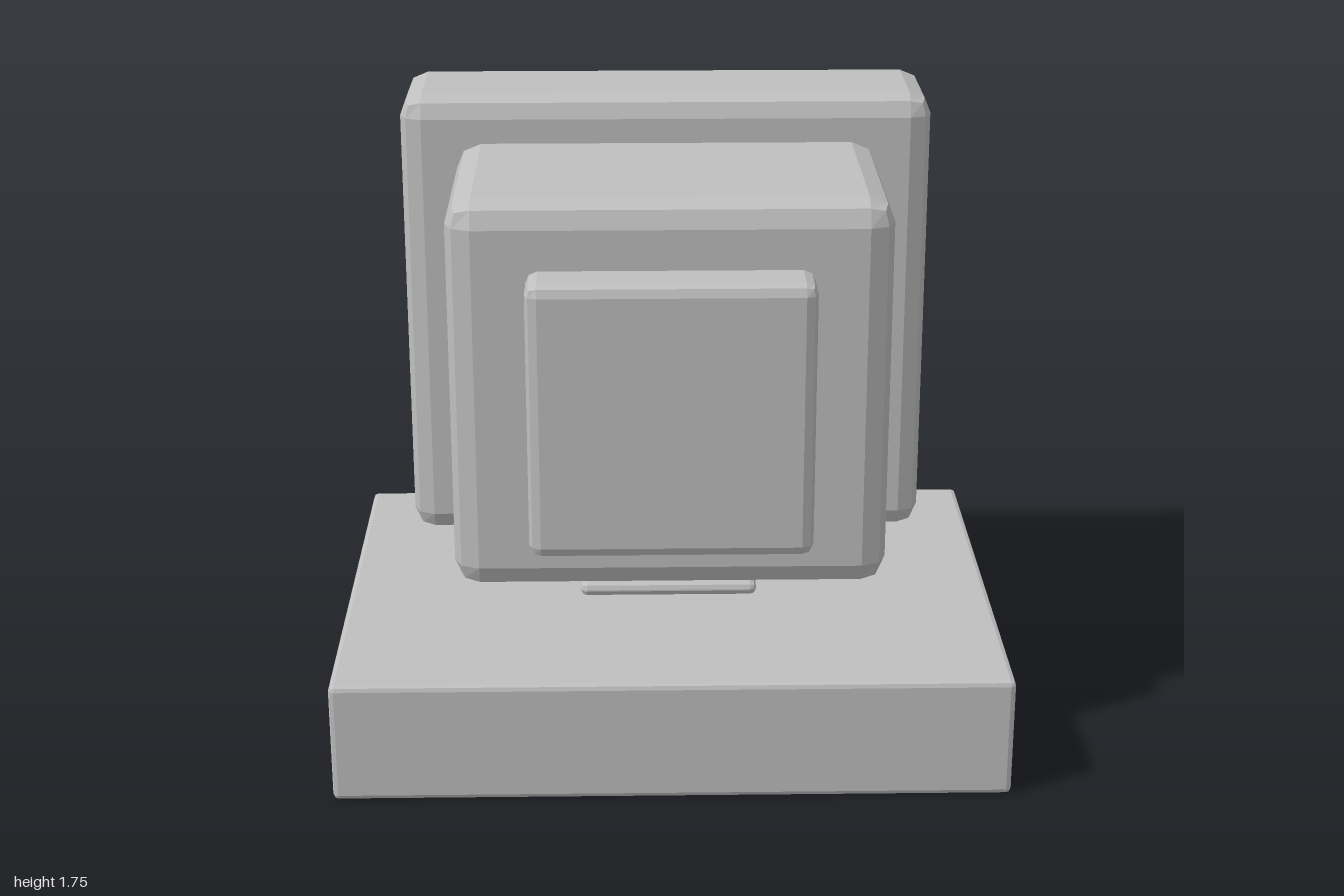
import * as THREE from 'three';
import { RoundedBoxGeometry } from 'three/addons/geometries/RoundedBoxGeometry.js';

const grey = new THREE.MeshStandardMaterial({ color: 0xbfbfbf });
grey.name = 'warm grey plastic';

export function createModel() {
  const model = new THREE.Group();
  model.name = 'desktopComputer';

  const group = (name) => {
    const g = new THREE.Group();
    g.name = name;
    model.add(g);
    return g;
  };
  const add = (parent, name, geometry) => {
    const mesh = new THREE.Mesh(geometry, grey);
    mesh.name = name;
    parent.add(mesh);
    return mesh;
  };
  // Box given by its limits; a radius gives faceted bevelled edges
  const box = (parent, name, [x0, x1], [y0, y1], [z0, z1], radius = 0) => {
    const size = [x1 - x0, y1 - y0, z1 - z0];
    const geometry = radius
      ? new RoundedBoxGeometry(...size, 1, radius)
      : new THREE.BoxGeometry(...size);
    if (radius) geometry.computeVertexNormals();
    const mesh = add(parent, name, geometry);
    mesh.position.set((x0 + x1) / 2, (y0 + y1) / 2, (z0 + z1) / 2);
    return mesh;
  };
  // Cylinder lying along z
  const disc = (parent, name, x, y, [z0, z1], radius, sides = 20) => {
    const geometry = new THREE.CylinderGeometry(radius, radius, z1 - z0, sides);
    geometry.rotateX(Math.PI / 2);
    const mesh = add(parent, name, geometry);
    mesh.position.set(x, y, (z0 + z1) / 2);
    return mesh;
  };

  // Case with its front details
  const unit = group('systemUnit');
  box(unit, 'case', [-0.955, 0.91], [0.005, 0.35], [-0.36, 0.995], 0.015);
  disc(unit, 'powerKnob', 0.7, 0.18, [-0.402, -0.355], 0.058);
  box(unit, 'powerLight', [0.67, 0.73], [0.275, 0.295], [-0.372, -0.355]);
  for (let i = 0; i < 6; i++) {
    const y = 0.1 + i * 0.036;
    box(unit, 'vent', [0.105, 0.485], [y, y + 0.016], [-0.375, -0.355]);
  }
  for (const y of [0.075, 0.195]) {
    box(unit, 'driveBay', [-0.83, -0.115], [y, y + 0.1], [-0.375, -0.355]);
    box(unit, 'driveSlot', [-0.78, -0.225], [y + 0.035, y + 0.065], [-0.385, -0.37]);
    box(unit, 'driveButton', [-0.2, -0.14], [y + 0.03, y + 0.07], [-0.385, -0.37]);
  }

  // Monitor: stand, front shell, tube housing and back cap
  const monitor = group('monitor');
  box(monitor, 'stand', [-0.28, 0.23], [0.355, 0.395], [-0.145, 0.45], 0.018);
  box(monitor, 'frontShell', [-0.79, 0.74], [0.4, 1.75], [-0.315, 0.082], 0.063);
  box(monitor, 'tubeHousing', [-0.62, 0.57], [0.535, 1.64], [0.1, 0.788], 0.07);
  box(monitor, 'backCap', [-0.405, 0.355], [0.705, 1.47], [0.79, 0.957], 0.032);
  box(monitor, 'screenFrame', [-0.685, 0.635], [0.525, 1.64], [-0.33, -0.3]);
  box(monitor, 'screen', [-0.62, 0.575], [0.58, 1.59], [-0.345, -0.32]);

  // Raised bars on the screen, all ending at the same side
  [0.22, 0.01, 0.355, -0.12, 0.15, -0.22, -0.485].forEach((x, i) => {
    const y = 1.49 - i * 0.13;
    const h = i === 6 ? 0.026 : 0.021;
    box(monitor, 'screenBar', [-0.545, x], [y - h, y + h], [-0.356, -0.34]);
  });

  // Controls under the screen
  disc(monitor, 'controlKnob', 0.5, 0.46, [-0.342, -0.3], 0.022, 12);
  disc(monitor, 'controlKnob', 0.37, 0.46, [-0.342, -0.3], 0.022, 12);
  box(monitor, 'namePlate', [-0.2, 0.145], [0.438, 0.482], [-0.322, -0.3]);

  // Wedge-shaped keyboard
  const keyboard = group('keyboard');
  const side = new THREE.Shape([
    new THREE.Vector2(0.45, 0.005),
    new THREE.Vector2(1, 0.005),
    new THREE.Vector2(1, 0.075),
    new THREE.Vector2(0.45, 0.128),
  ]);
  const wedge = new THREE.ExtrudeGeometry(side, { depth: 1.575, bevelEnabled: false });
  wedge.rotateY(Math.PI / 2);
  add(keyboard, 'keyboardBase', wedge).position.set(-0.875, 0, 0);

  // Four rows of fourteen keys and a space bar
  for (let row = 0; row < 4; row++) {
    const z = -0.57 + row * -0.1065;
    const top = 0.165 - row * 0.01;
    for (let i = 0; i < 14; i++) {
      const x = -0.835 + i * 0.1078;
      box(keyboard, 'key', [x, x + 0.088], [top - 0.07, top], [z, z + 0.073]);
    }
  }
  box(keyboard, 'spaceBar', [-0.45, 0.23], [0.06, 0.117], [-0.97, -0.91]);

  // Mouse with its button divider and cable
  const mouse = group('mouse');
  box(mouse, 'mouseBody', [0.785, 0.95], [0.007, 0.061], [-0.83, -0.58], 0.02);
  box(mouse, 'buttonDivider', [0.862, 0.873], [0.05, 0.066], [-0.825, -0.72]);
  disc(mouse, 'cable', 0.87, 0.014, [-0.6, -0.35], 0.009, 8);

  return model;
}
